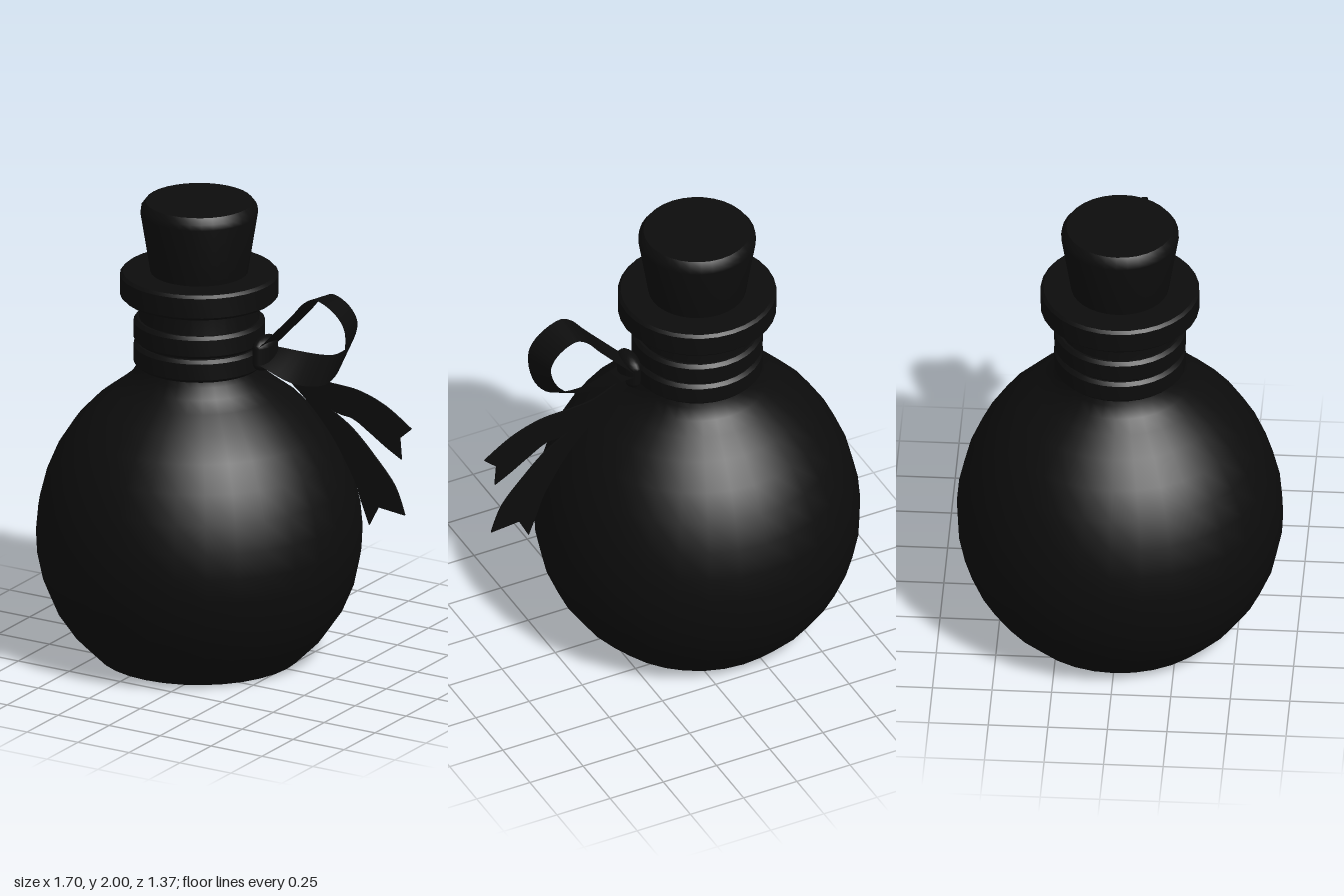
import * as THREE from 'three';
import { toCreasedNormals } from 'three/addons/utils/BufferGeometryUtils.js';

const AXIS_X = -0.167; // bottle axis, the bow hangs on the +x side
const material = new THREE.MeshStandardMaterial({ color: 0x0c0c0c });
const ribbonMaterial = new THREE.MeshStandardMaterial({ color: 0x0c0c0c, side: THREE.DoubleSide });
const vectors = (points) => points.map(([x, y]) => new THREE.Vector2(x, y));

function turned(name, profile) {
  const lathe = new THREE.LatheGeometry(vectors(profile), 32);
  const mesh = new THREE.Mesh(toCreasedNormals(lathe, 0.6), material);
  mesh.name = name;
  mesh.position.x = AXIS_X;
  return mesh;
}

// Closed ring with chamfered edges
function collar(name, inner, outer, y0, y1, bevel) {
  return turned(name, [
    [inner, y0], [outer - bevel, y0], [outer, y0 + bevel],
    [outer, y1 - bevel], [outer - bevel, y1], [inner, y1],
  ]);
}

// Open strip between two matching edge curves
function strip(name, front, back, zFront, zBack, steps) {
  const curve = (pts, z) =>
    new THREE.CatmullRomCurve3(pts.map(([x, y]) => new THREE.Vector3(x, y, z)));
  const a = curve(front, zFront), b = curve(back, zBack);
  const positions = [], index = [];
  for (let i = 0; i <= steps; i++) {
    positions.push(...a.getPoint(i / steps).toArray(), ...b.getPoint(i / steps).toArray());
    if (i < steps) {
      const k = i * 2;
      index.push(k, k + 2, k + 1, k + 1, k + 2, k + 3);
    }
  }
  const geometry = new THREE.BufferGeometry();
  geometry.setAttribute('position', new THREE.Float32BufferAttribute(positions, 3));
  geometry.setIndex(index);
  geometry.computeVertexNormals();
  const mesh = new THREE.Mesh(geometry, ribbonMaterial);
  mesh.name = name;
  return mesh;
}

// Flat ribbon end with a V notch
function tail(name, upper, notch, lower) {
  const shape = new THREE.Shape();
  shape.moveTo(...upper[0]);
  shape.splineThru(vectors(upper.slice(1)));
  shape.lineTo(...notch);
  shape.lineTo(...lower[0]);
  shape.splineThru(vectors(lower.slice(1)));
  shape.closePath();
  const geometry = new THREE.ExtrudeGeometry(shape, { depth: 0.008, bevelEnabled: false, curveSegments: 5 });
  const mesh = new THREE.Mesh(geometry, ribbonMaterial);
  mesh.name = name;
  mesh.position.z = -0.041;
  return mesh;
}

export function createModel() {
  const model = new THREE.Group();
  model.name = 'corkedBottle';

  // Round flask with a flat base, running up into the neck
  model.add(turned('flask', [
    [0, 0], [0.43, 0], [0.53, 0.1], [0.605, 0.21], [0.655, 0.33], [0.68, 0.45], [0.685, 0.55],
    [0.675, 0.66], [0.645, 0.78], [0.595, 0.9], [0.525, 1.01], [0.435, 1.105], [0.35, 1.17],
    [0.295, 1.215], [0.265, 1.26], [0.252, 1.31], [0.252, 1.6],
  ]));
  model.add(collar('lip', 0.19, 0.333, 1.58, 1.69, 0.012));

  // Ribbon wound twice around the neck
  [[1.283, 1.382], [1.388, 1.487]].forEach(([y0, y1], i) =>
    model.add(collar('neckRibbon' + (i + 1), 0.24, 0.276, y0, y1, 0.014)));

  // Tapered cork
  model.add(turned('cork', [
    [0, 1.6], [0.19, 1.6], [0.205, 1.69], [0.247, 1.95], [0.244, 1.975], [0.225, 2], [0, 2],
  ]));

  // Bow: knot, one loop and two notched tails
  const bow = new THREE.Group();
  bow.name = 'bow';
  const knot = new THREE.Mesh(new THREE.CapsuleGeometry(0.04, 0.07, 5, 16), material);
  knot.name = 'knot';
  knot.scale.z = 2;
  knot.position.set(0.155, 1.385, -0.003);
  bow.add(knot);
  bow.add(strip('loop',
    [[0.17, 1.43], [0.33, 1.6], [0.39, 1.667], [0.44, 1.69], [0.54, 1.645], [0.59, 1.57],
      [0.57, 1.42], [0.51, 1.335], [0.445, 1.307], [0.33, 1.3], [0.17, 1.35]],
    [[0.17, 1.41], [0.33, 1.58], [0.39, 1.648], [0.44, 1.672], [0.52, 1.635], [0.56, 1.57],
      [0.53, 1.47], [0.46, 1.41], [0.4, 1.395], [0.3, 1.39], [0.17, 1.39]],
    0.07, -0.08, 40));
  bow.add(tail('upperTail',
    [[0.18, 1.38], [0.33, 1.31], [0.44, 1.295], [0.59, 1.285], [0.725, 1.24], [0.852, 1.16]],
    [0.795, 1.11],
    [[0.803, 1.017], [0.725, 1.06], [0.645, 1.11], [0.565, 1.155], [0.455, 1.18], [0.18, 1.33]]));
  bow.add(tail('lowerTail',
    [[0.18, 1.36], [0.34, 1.26], [0.455, 1.18], [0.565, 1.11], [0.67, 1.01], [0.77, 0.895], [0.82, 0.772]],
    [0.69, 0.785],
    [[0.645, 0.698], [0.605, 0.8], [0.565, 0.9], [0.46, 1.065], [0.33, 1.205], [0.18, 1.32]]));
  model.add(bow);
  return model;
}
